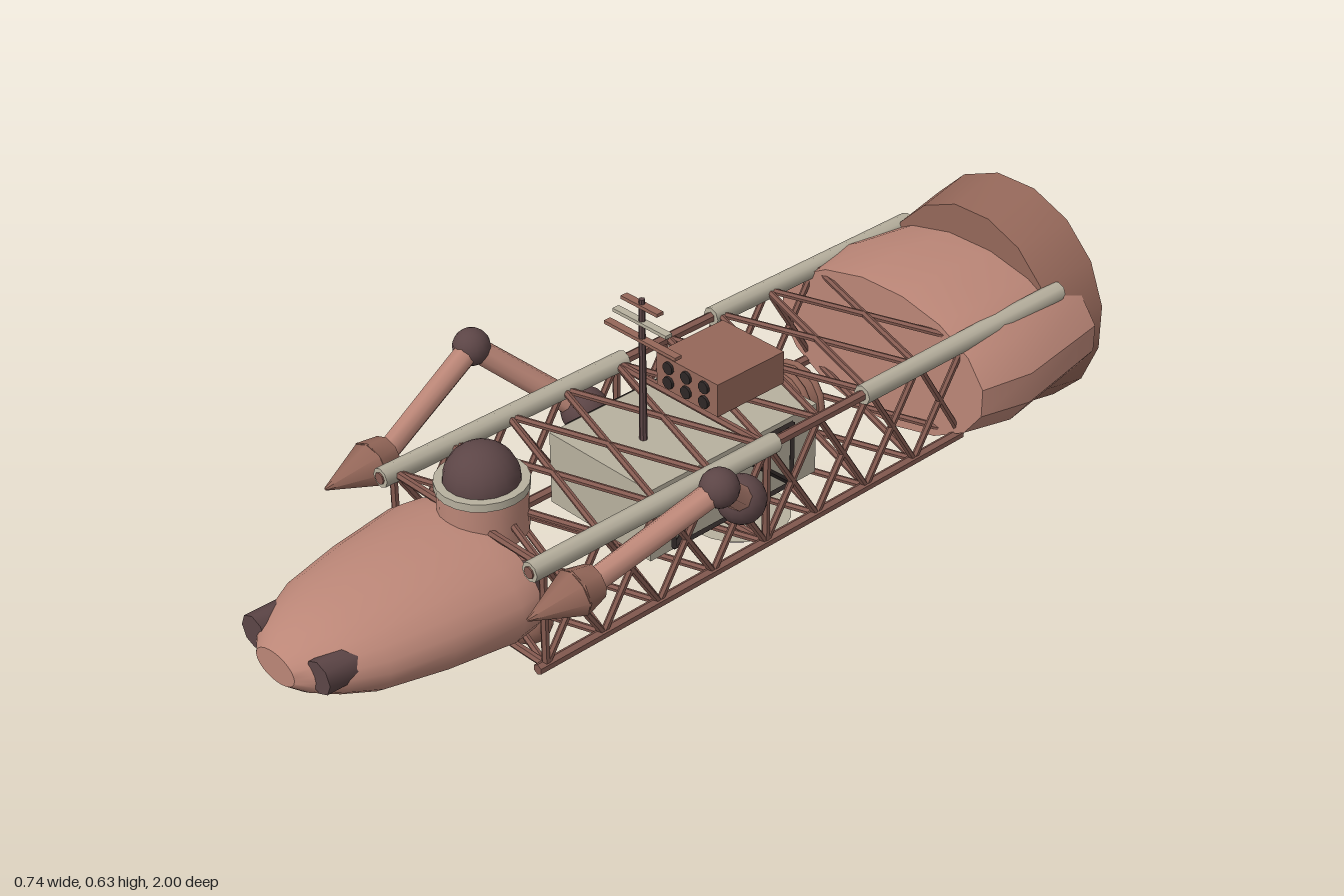
import * as THREE from 'three';
import { toCreasedNormals } from 'three/addons/utils/BufferGeometryUtils.js';

export function createModel() {
  const root = new THREE.Group();
  root.name = 'spaceTug';
  const mat = (name, color, side = THREE.FrontSide) => {
    const m = new THREE.MeshStandardMaterial({ color, side });
    m.name = name;
    return m;
  };
  const hull = mat('salmonHull', 0xbb8677);
  const brown = mat('brownPanel', 0x946759);
  const strut = mat('trussBrown', 0x845a50);
  const dark = mat('darkFitting', 0x5c4546, THREE.DoubleSide);
  const cream = mat('cream', 0xb7b09e);
  const purple = mat('purpleDish', 0x3d2c58);
  const black = mat('blackStrap', 0x2e2726);

  const add = (name, geo, material, x = 0, y = 0, z = 0, parent = root) => {
    const mesh = new THREE.Mesh(geo, material);
    mesh.name = name;
    mesh.position.set(x, y, z);
    parent.add(mesh);
    return mesh;
  };
  const box = (name, m, w, h, d, x, y, z) => add(name, new THREE.BoxGeometry(w, h, d), m, x, y, z);
  const cyl = (rTop, rBottom, h, n = 16, open = false) =>
    toCreasedNormals(new THREE.CylinderGeometry(rTop, rBottom, h, n, 1, open), 0.85);
  const ball = (r) => new THREE.SphereGeometry(r, 16, 12);

  // Round or hexagonal bar between two points
  const bar = (name, m, a, b, r, n = 6, rEnd = r, parent = root) => {
    const A = new THREE.Vector3(...a), B = new THREE.Vector3(...b);
    const d = B.clone().sub(A);
    const mesh = add(name, cyl(rEnd, r, d.length(), n), m, 0, 0, 0, parent);
    mesh.position.copy(A).add(B).multiplyScalar(0.5);
    mesh.quaternion.setFromUnitVectors(new THREE.Vector3(0, 1, 0), d.normalize());
    return mesh;
  };

  // Lengthwise body turned about z; profile is [radius, z] from back to front
  const body = (name, m, profile, n, sx, sy, y, turn = 0) => {
    const pts = profile.map(([r, z]) => new THREE.Vector2(r, z));
    const g = new THREE.LatheGeometry(pts, n);
    g.rotateX(Math.PI / 2).rotateZ(turn).scale(sx, sy, 1);
    return add(name, toCreasedNormals(g, 0.6), m, 0, y, 0);
  };

  // Cockpit pod with a flat nose
  body('cockpit', hull, [[0, 0.56], [0.96, 0.56], [1, 0.61], [0.9, 0.75], [0.76, 0.87],
    [0.6, 0.93], [0.43, 0.975], [0.27, 1], [0, 1]], 24, 0.2, 0.115, 0.25);
  for (const s of [-1, 1]) {
    const lamp = add('noseLamp', cyl(0.033, 0.033, 0.07, 8), dark, s * 0.091, 0.264, 0.942);
    lamp.rotation.x = Math.PI / 2;
  }

  // Observation dome
  add('domeCollar', cyl(0.083, 0.083, 0.09, 20), hull, 0, 0.362, 0.53);
  add('domeRing', cyl(0.087, 0.087, 0.016, 20), cream, 0, 0.413, 0.53);
  add('dome', new THREE.SphereGeometry(0.071, 18, 8, 0, Math.PI * 2, 0, Math.PI / 2), dark, 0, 0.42, 0.53);

  // Truss: longerons, battens and crossed braces on all four sides
  const X = 0.205, Y0 = 0.14, Y1 = 0.355, Z0 = 0.57, Z1 = -0.53, bays = 8;
  const corners = [[-X, Y0], [X, Y0], [X, Y1], [-X, Y1]];
  corners.forEach(([x, y]) => bar('longeron', strut, [x, y, Z0 + 0.02], [x, y, Z1], 0.011));
  for (let i = 0; i <= bays; i++) {
    const z = Z0 + (Z1 - Z0) * i / bays, zn = z + (Z1 - Z0) / bays;
    corners.forEach((p, k) => {
      const q = corners[(k + 1) % 4];
      if (i % 4 === 0) bar('batten', strut, [...p, z], [...q, z], 0.008);
      if (i < bays) {
        bar('brace', strut, [...p, z], [...q, zn], 0.007);
        bar('brace', strut, [...q, z], [...p, zn], 0.007);
      }
    });
  }
  for (const s of [-1, 1]) {
    bar('frontRail', cream, [s * X, Y1, 0], [s * X, Y1, 0.6], 0.02, 8);
    bar('rearRail', cream, [s * X, Y1, -0.81], [s * X, Y1, -0.235], 0.02, 8);
    for (const z of [0.601, -0.001]) {
      const hole = add('railCore', cyl(0.012, 0.012, 0.004, 8), strut, s * X, Y1, z);
      hole.rotation.x = Math.PI / 2;
    }
  }

  // Rear tank, flared engine skirt and nozzles
  body('rearTank', hull, [[0, -0.865], [0.88, -0.865], [1, -0.625], [0.91, -0.51], [0, -0.51]],
    16, 0.306, 0.17, 0.247, Math.PI / 16);
  body('engineSkirt', brown, [[0, -0.908], [0.25, -0.908], [0.228, -0.772], [0, -0.772]],
    16, 1, 1, 0.247, Math.PI / 16);
  for (const [x, y] of [[0, 0.322], [-0.088, 0.203], [0.088, 0.203]]) {
    const nozzle = add('nozzle', cyl(0.05, 0.057, 0.095, 16, true), dark, x, y, -0.9525);
    nozzle.rotation.x = Math.PI / 2;
    const throat = add('nozzleThroat', cyl(0.045, 0.045, 0.03, 16), dark, x, y, -0.93);
    throat.rotation.x = Math.PI / 2;
  }

  // Cargo container with strapped sides
  box('container', cream, 0.275, 0.155, 0.435, 0, 0.252, 0.035);
  for (const s of [-1, 1]) {
    const x = s * 0.145;
    const frame = [[0.2, 0.185], [0.2, 0.32], [-0.11, 0.32], [-0.11, 0.185]];
    frame.forEach(([z, y], k) => {
      const [zn, yn] = frame[(k + 1) % 4];
      bar('strap', black, [x, y, z], [x, yn, zn], 0.006, 4);
    });
    bar('strap', black, [x, 0.185, 0.2], [x, 0.32, 0.045], 0.006, 4);
    bar('strap', black, [x, 0.32, 0.045], [x, 0.185, -0.11], 0.006, 4);
  }

  // Ribbed drum behind the container
  const drum = add('drum', cyl(0.068, 0.068, 0.11), brown, 0, 0.25, -0.225);
  drum.rotation.x = Math.PI / 2;
  for (const z of [-0.2, -0.235, -0.27]) {
    add('drumRib', new THREE.TorusGeometry(0.069, 0.007, 6, 16), brown, 0, 0.25, z);
  }

  // Launcher box with ports
  box('launcherBox', brown, 0.165, 0.07, 0.175, 0, 0.4, -0.06);
  box('launcherBase', brown, 0.08, 0.05, 0.1, 0, 0.345, -0.06);
  for (let i = -1; i <= 1; i++) {
    for (const dy of [-0.016, 0.016]) {
      const port = add('launcherPort', cyl(0.013, 0.013, 0.006, 10), black, i * 0.048, 0.4 + dy, 0.03);
      port.rotation.x = Math.PI / 2;
    }
  }

  // Antenna mast with crossbars
  bar('mast', dark, [0, 0.32, 0.14], [0, 0.63, 0.14], 0.008, 8, 0.006);
  [[0.545, 0.19, brown], [0.581, 0.142, cream], [0.617, 0.096, brown]].forEach(([y, w, m]) =>
    box('antennaBar', m, w, 0.007, 0.016, 0, y, 0.14));

  // Downward dish on its stem
  bar('dishStem', dark, [0, 0.045, -0.108], [0, 0.18, -0.108], 0.024, 10);
  add('dishRim', cyl(0.108, 0.085, 0.016, 20), cream, 0, 0.042, -0.108);
  add('dishFace', cyl(0.08, 0.08, 0.006, 20), purple, 0, 0.033, -0.108);

  // Sensor ball under the nose
  bar('sensorStem', dark, [0, 0.09, 0.435], [0, 0.18, 0.435], 0.025, 10);
  add('sensorBall', ball(0.047), brown, 0, 0.063, 0.435);
  for (const x of [-0.011, 0.011]) {
    bar('sensorProbe', dark, [x, 0.063, 0.46], [x, 0.063, 0.53], 0.005);
  }

  // Manipulator arms, mirrored
  for (const s of [-1, 1]) {
    const arm = new THREE.Group();
    arm.name = s > 0 ? 'leftArm' : 'rightArm';
    root.add(arm);
    const shoulder = [s * 0.215, 0.277, 0.095], elbow = [s * 0.335, 0.44, 0.27];
    const wrist = [s * 0.285, 0.34, 0.52], palm = [s * 0.281, 0.334, 0.565], tip = [s * 0.279, 0.328, 0.67];
    add('shoulderBall', ball(0.048), dark, ...shoulder, arm);
    add('elbowBall', ball(0.037), dark, ...elbow, arm);
    bar('upperArm', hull, shoulder, elbow, 0.026, 8, 0.024, arm);
    bar('forearm', hull, elbow, wrist, 0.024, 8, 0.022, arm);
    bar('handBack', brown, wrist, palm, 0.034, 8, 0.046, arm);
    bar('handTip', brown, palm, tip, 0.046, 8, 0.003, arm);
  }
  return root;
}
